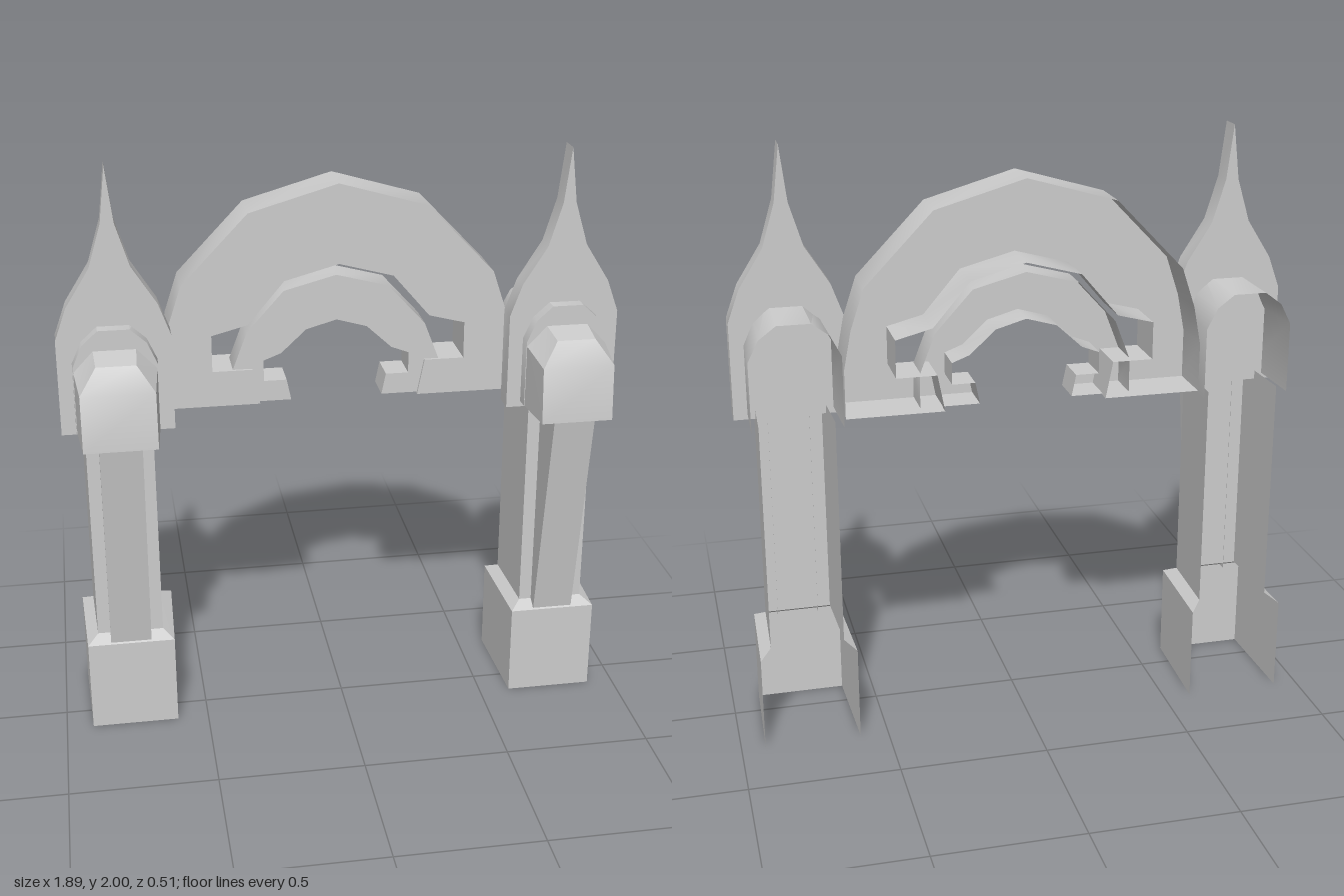
import * as THREE from 'three';
import { toCreasedNormals } from 'three/addons/utils/BufferGeometryUtils.js';

const stone = new THREE.MeshStandardMaterial({ color: 0xcccccc, side: THREE.DoubleSide });
stone.name = 'pale grey stone';

function mesh(name, geometry, parent) {
  const m = new THREE.Mesh(toCreasedNormals(geometry, 0.65), stone);
  m.name = name;
  parent.add(m);
  return m;
}

// Skin between successive cross-sections; fillFirst closes the first one,
// which must be symmetrical from its first point to its last.
function loft(rings, fillFirst = false) {
  const n = rings[0].length, index = [];
  for (let k = 0; k < rings.length - 1; k++) {
    for (let i = 0; i < n - 1; i++) {
      const a = k * n + i, b = a + 1, c = b + n, d = a + n;
      index.push(a, b, c, a, c, d);
    }
  }
  if (fillFirst) {
    for (let i = 0; i < n / 2 - 1; i++) {
      const r = n - 1 - i;
      index.push(i, r, r - 1, i, r - 1, i + 1);
    }
  }
  const g = new THREE.BufferGeometry();
  g.setAttribute('position', new THREE.Float32BufferAttribute(rings.flat(2), 3));
  g.setIndex(index);
  g.computeVertexNormals();
  return g;
}

// Horizontal U section: open at the back
const uRing = (y, back, front, zBack, zFront) => [
  [-back, y, zBack], [-front, y, zFront], [front, y, zFront], [back, y, zBack]];

// Arched section from half a profile; z may depend on the point
const archRing = (half, z) => {
  const pts = half.map(([x, y], i) => [x, y, Array.isArray(z) ? z[i] : z]);
  return [...pts.map(([x, y, d]) => [-x, y, d]), ...pts.reverse()];
};

// Half outline mirrored to a full one, clockwise over the top
const mirrored = half => [
  ...half.filter(p => p[0] > 0).reverse().map(([x, y]) => [-x, y]), ...half];

const toShape = pts => new THREE.Shape(pts.map(p => new THREE.Vector2(p[0], p[1])));

function tower(name, x) {
  const g = new THREE.Group();
  g.name = name;
  g.position.x = x;

  // Plinth with sloping shoulder
  mesh('plinth', loft([
    uRing(0, 0.162, 0.15, -0.255, 0.105),
    uRing(0.325, 0.162, 0.15, -0.255, 0.105),
    uRing(0.35, 0.123, 0.113, -0.212, 0.062)]), g);

  // Pillar and the buttress leaning out from it
  mesh('pillar', loft([
    uRing(0.35, 0.123, 0.113, -0.212, 0.062),
    uRing(1.13, 0.123, 0.113, -0.212, 0.062)]), g);
  mesh('buttress', loft([
    uRing(0.33, 0.07, 0.07, 0.06, 0.1),
    uRing(1.13, 0.07, 0.07, 0.06, 0.236)]), g);

  // Rounded hoods, open below and behind
  mesh('rearHood', loft([
    archRing([[0.138, 1.12], [0.138, 1.35], [0.105, 1.425], [0.052, 1.473]], 0.09),
    archRing([[0.148, 1.12], [0.148, 1.36], [0.112, 1.43], [0.055, 1.473]], -0.24)], true), g);
  mesh('frontHood', loft([
    archRing([[0.121, 1.12], [0.121, 1.31], [0.065, 1.39]], [0.26, 0.245, 0.2]),
    archRing([[0.136, 1.12], [0.136, 1.335], [0.07, 1.405]], 0.09)], true), g);

  // Pointed crest plate
  const crest = mirrored([[0, 2], [0.022, 1.815], [0.066, 1.67],
    [0.148, 1.54], [0.188, 1.43], [0.188, 1.1]]);
  const plate = new THREE.ExtrudeGeometry(toShape(crest), { depth: 0.075, bevelEnabled: false });
  plate.translate(0, 0, -0.03);
  mesh('crest', plate, g);
  return g;
}

// Arch with a front face and a rim running back from it
function arch(name, outer, inner, zFront, zBack, x) {
  const g = new THREE.Group();
  g.name = name;
  g.position.x = x;
  const outline = [...mirrored(outer), ...mirrored(inner).reverse()];
  const face = new THREE.ShapeGeometry(toShape(outline));
  face.translate(0, 0, zFront);
  mesh(name + 'Face', face, g);
  const closed = [...outline, outline[0]];
  mesh(name + 'Rim', loft([zFront, zBack].map(z => closed.map(([px, py]) => [px, py, z]))), g);
  return g;
}

export function createModel() {
  const model = new THREE.Group();
  model.name = 'gateway';
  model.add(tower('leftTower', 0.7575), tower('rightTower', -0.7575));

  // Main span with inward feet
  model.add(arch('mainArch',
    [[0, 1.89], [0.302, 1.803], [0.53, 1.565], [0.575, 1.43], [0.6, 1.3], [0.6, 1.135]],
    [[0, 1.617], [0.185, 1.567], [0.31, 1.42], [0.433, 1.388], [0.433, 1.26],
      [0.297, 1.26], [0.273, 1.135]],
    -0.04, -0.205, 0));

  // Smaller arch nested beneath it
  model.add(arch('innerArch',
    [[0, 1.577], [0.178, 1.53], [0.305, 1.39], [0.357, 1.255], [0.357, 1.14]],
    [[0, 1.42], [0.104, 1.39], [0.19, 1.31], [0.25, 1.287], [0.25, 1.213],
      [0.172, 1.213], [0.157, 1.14]],
    -0.05, -0.17, -0.008));
  return model;
}
